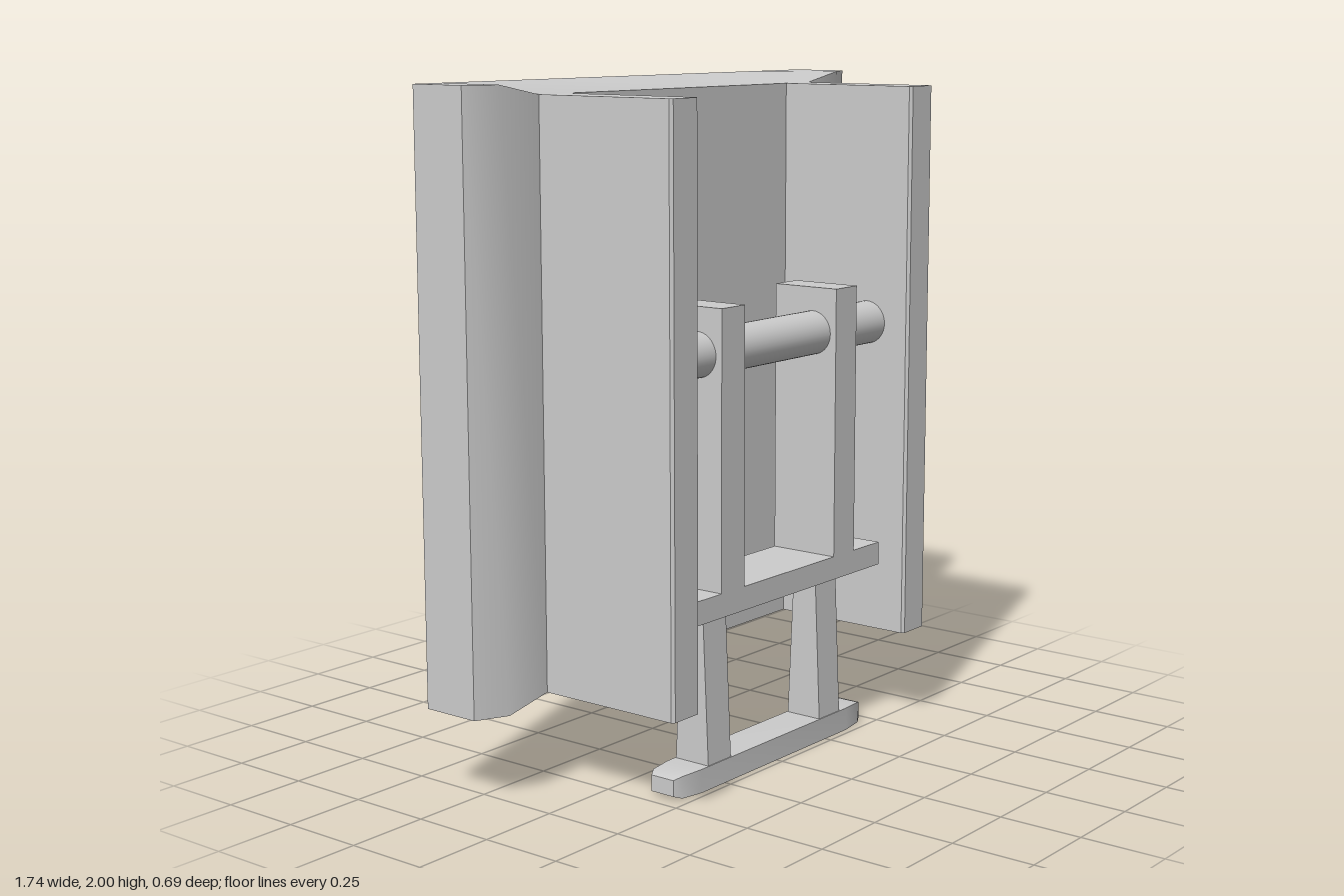
import * as THREE from 'three';
import { toCreasedNormals } from 'three/addons/utils/BufferGeometryUtils.js';

const material = new THREE.MeshStandardMaterial({ color: 0xcccccc });

// Solid lofted along x; each section is [x, yBottom, yTop, zBack, zFront, yBottomFront, yTopFront]
function loftX(sections, crease = 0.55) {
  const rings = sections.map(([x, y0, y1, z0, z1, f0 = y0, f1 = y1]) =>
    [[x, y0, z0], [x, y1, z0], [x, f1, z1], [x, f0, z1]]);
  const pos = [];
  const quad = (a, b, c, d) => pos.push(...a, ...b, ...c, ...a, ...c, ...d);
  for (let i = 0; i < rings.length - 1; i++) {
    for (let j = 0; j < 4; j++) {
      const k = (j + 1) % 4;
      quad(rings[i][j], rings[i][k], rings[i + 1][k], rings[i + 1][j]);
    }
  }
  const first = rings[0], last = rings[rings.length - 1];
  quad(first[3], first[2], first[1], first[0]);
  quad(last[0], last[1], last[2], last[3]);
  const g = new THREE.BufferGeometry();
  g.setAttribute('position', new THREE.Float32BufferAttribute(pos, 3));
  return toCreasedNormals(g, crease);
}

// Sections for the +x half, listed outward, mirrored to both sides
const mirrored = (half) => [
  ...half.map(([x, ...rest]) => [-x, ...rest]).reverse(),
  ...half,
];

function box(x0, x1, y0, y1, z0, z1) {
  return new THREE.BoxGeometry(x1 - x0, y1 - y0, z1 - z0)
    .translate((x0 + x1) / 2, (y0 + y1) / 2, (z0 + z1) / 2);
}

export function createModel() {
  const group = new THREE.Group();
  const add = (name, geometry) => {
    const mesh = new THREE.Mesh(geometry, material);
    mesh.name = name;
    group.add(mesh);
    return mesh;
  };

  // Back plate: bevelled front sides, top and bottom drawn in between the walls
  add('backPlate', loftX(mirrored([
    [0.62, 0.265, 2, -0.345, -0.12, 0.295, 1.97],
    [0.775, 0.265, 2, -0.345, -0.12],
    [0.87, 0.265, 2, -0.345, -0.165],
  ])));

  // Cross rod between the walls
  const rod = add('crossRod', new THREE.CylinderGeometry(0.065, 0.065, 1.02, 40));
  rod.rotation.z = Math.PI / 2;
  rod.position.set(0, 1.255, 0.19);

  for (const s of [1, -1]) {
    const side = s > 0 ? 'left' : 'right';

    // Side wall, slightly bevelled along its front edges
    const wall = new THREE.Shape([
      [0.505, 0.13], [0.62, 0.13], [0.62, -0.332], [0.612, -0.34], [0.513, -0.34], [0.505, -0.332],
    ].map(([x, y]) => new THREE.Vector2(s * x, y)));
    const wallGeometry = new THREE.ExtrudeGeometry(wall, { depth: 1.675, bevelEnabled: false });
    wallGeometry.rotateX(-Math.PI / 2).translate(0, 0.295, 0);
    add(side + 'Wall', wallGeometry);

    // Upright hanging on the rod
    add(side + 'Upright', box(s * 0.2725 - 0.0525, s * 0.2725 + 0.0525, 0.55, 1.39, 0.055, 0.275));

    // Lower leg, widening in depth towards the foot bar
    const leg = box(s * 0.2725 - 0.0525, s * 0.2725 + 0.0525, 0.05, 0.53, -0.06, 0.06);
    const p = leg.attributes.position;
    for (let i = 0; i < p.count; i++) {
      const taper = p.getY(i) > 0.3 ? 0.65 : 1;
      p.setZ(i, 0.168 + p.getZ(i) * taper);
    }
    leg.computeVertexNormals();
    add(side + 'Leg', leg);
  }

  // Shelf joining the uprights
  add('shelf', box(-0.46, 0.46, 0.515, 0.585, 0.055, 0.275));

  // Foot bar with softened ends
  add('footBar', loftX(mirrored([
    [0.36, 0, 0.07, 0.106, 0.23],
    [0.435, 0.003, 0.068, 0.115, 0.221],
    [0.46, 0.012, 0.06, 0.128, 0.208],
  ])));

  return group;
}
